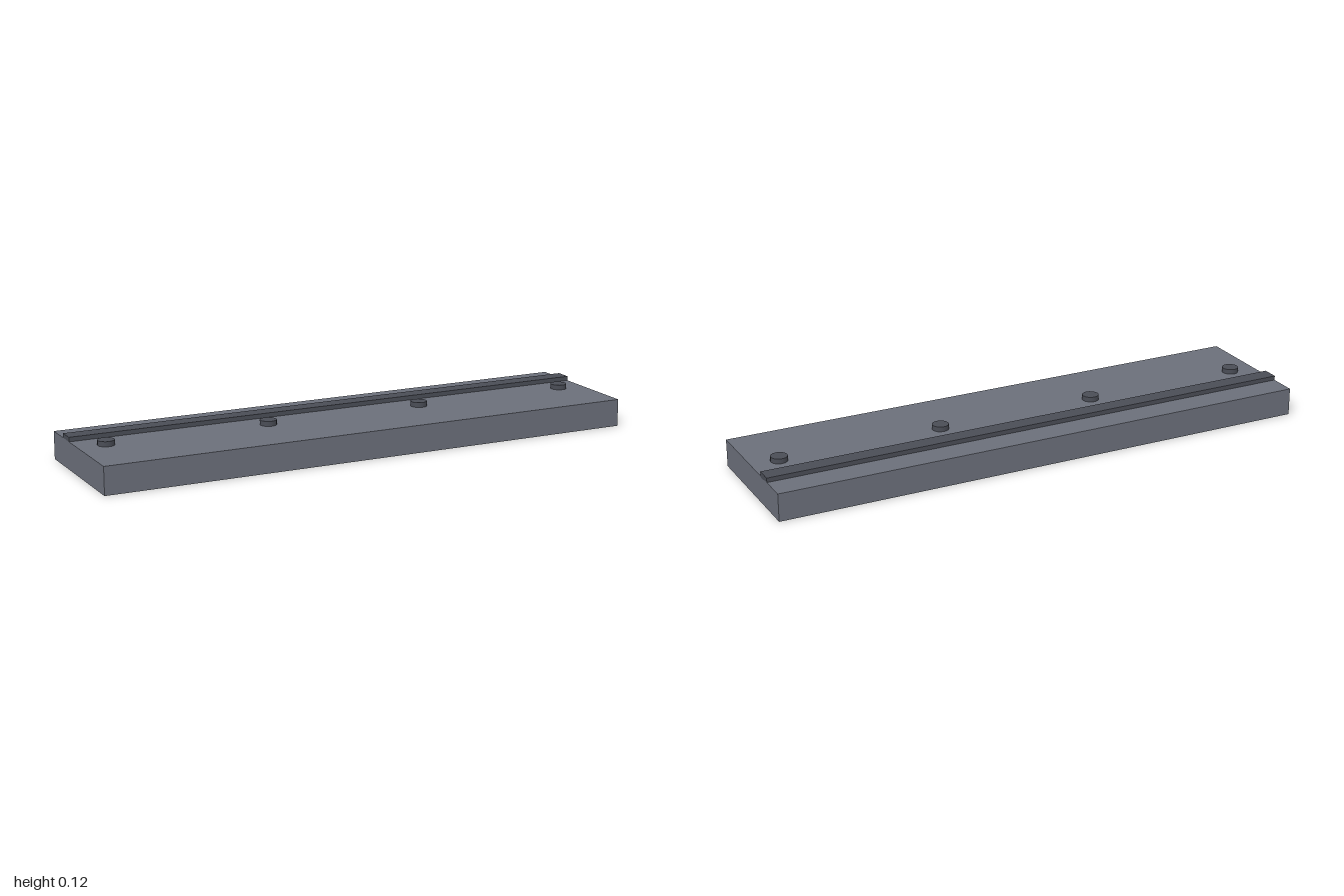
import * as THREE from 'three';

export function createModel() {
  const model = new THREE.Group();
  const slabGrey = new THREE.MeshStandardMaterial({ color: 0x6b6f7a });
  slabGrey.name = 'slab grey';
  const darkSteel = new THREE.MeshStandardMaterial({ color: 0x4a4d56 });
  darkSteel.name = 'dark steel';

  const add = (name, geometry, material, x, y, z) => {
    const mesh = new THREE.Mesh(geometry, material);
    mesh.name = name;
    mesh.position.set(x, y, z);
    model.add(mesh);
  };

  // Long flat slab
  add('slab', new THREE.BoxGeometry(2, 0.1, 0.5), slabGrey, 0, 0.05, 0);

  // Raised rail towards the back, running the full length
  add('rail', new THREE.BoxGeometry(2, 0.02, 0.06), darkSteel, 0, 0.106, -0.12);

  // Row of four bolt heads along the centre line
  const boltGeometry = new THREE.CylinderGeometry(0.03, 0.03, 0.024, 16);
  for (let i = 0; i < 4; i++) {
    add(`bolt${i + 1}`, boltGeometry, darkSteel, -0.9 + i * 0.6, 0.106, 0);
  }

  return model;
}
